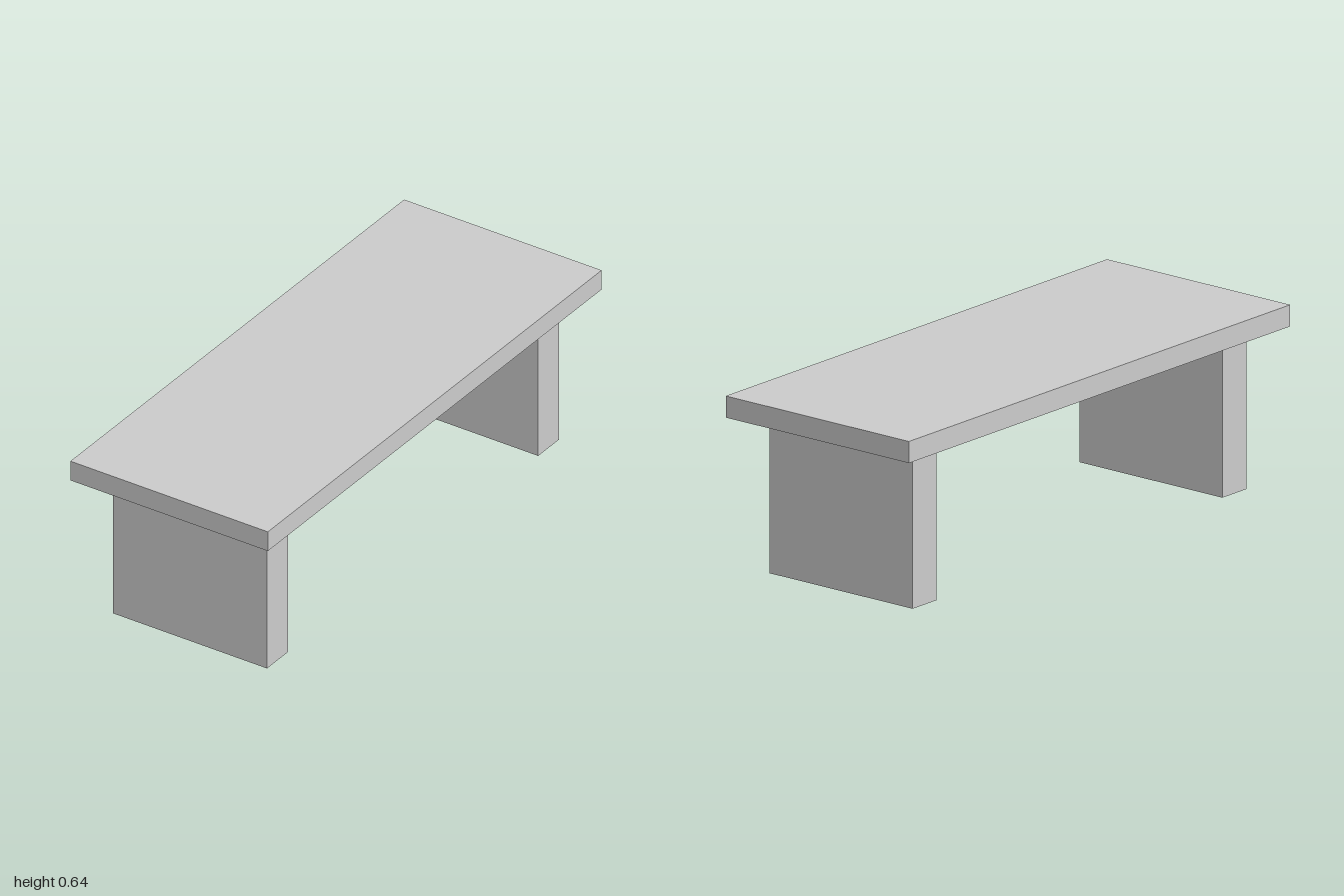
import * as THREE from 'three';

const LEG_HEIGHT = 0.56;
const TOP_THICKNESS = 0.076;

export function createModel() {
  const model = new THREE.Group();
  model.name = 'bench';
  const material = new THREE.MeshStandardMaterial({ color: 0xcccccc });

  // Box standing on height y
  const addSlab = (name, width, height, depth, y, z) => {
    const slab = new THREE.Mesh(new THREE.BoxGeometry(width, height, depth), material);
    slab.name = name;
    slab.position.set(0, y + height / 2, z);
    model.add(slab);
  };

  // Long flat top
  addSlab('top', 0.8, TOP_THICKNESS, 2, LEG_HEIGHT, 0);

  // Slab leg near each end
  for (const side of [1, -1]) {
    addSlab(side > 0 ? 'frontLeg' : 'backLeg', 0.624, LEG_HEIGHT, 0.125, 0, side * 0.8125);
  }

  return model;
}
